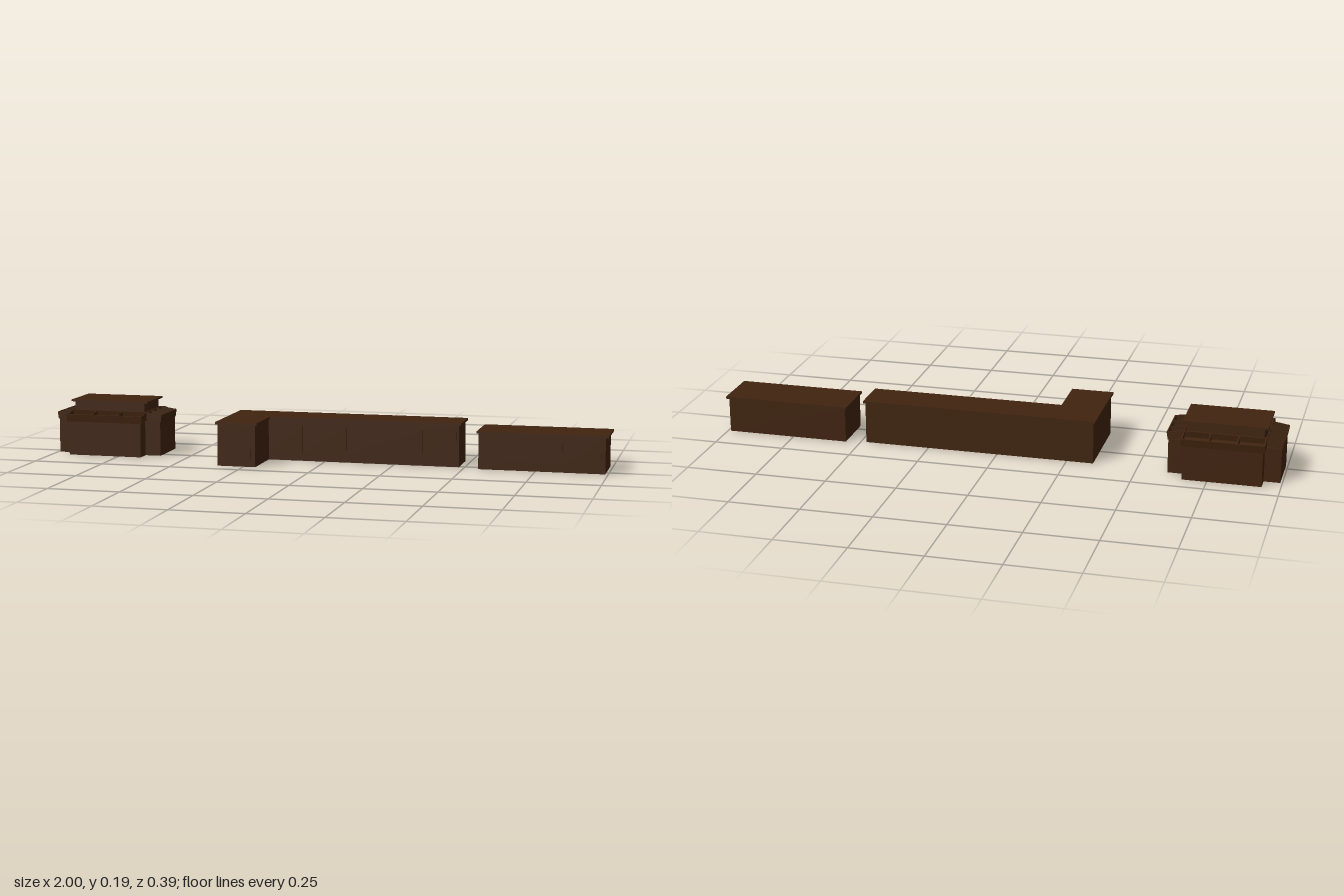
import * as THREE from 'three';

const wood = new THREE.MeshStandardMaterial({ color: 0x40240f });
wood.name = 'dark wood';

// Box given by its minimum and maximum corners
function box(parent, name, [x0, y0, z0], [x1, y1, z1]) {
  const mesh = new THREE.Mesh(new THREE.BoxGeometry(x1 - x0, y1 - y0, z1 - z0), wood);
  mesh.name = name;
  mesh.position.set((x0 + x1) / 2, (y0 + y1) / 2, (z0 + z1) / 2);
  parent.add(mesh);
  return mesh;
}

function group(parent, name) {
  const g = new THREE.Group();
  g.name = name;
  parent.add(g);
  return g;
}

// Thin raised door panels between successive x positions
function doors(parent, xs, z, thickness, y0, y1) {
  const gap = 0.003;
  for (let i = 0; i < xs.length - 1; i++) {
    box(parent, 'doorPanel', [xs[i] + gap, y0, z], [xs[i + 1] - gap, y1, z + thickness]);
  }
}

// Open three-compartment tray; local +z points outward and tilts down
function makeTray(width) {
  const g = new THREE.Group();
  g.name = 'displayTray';
  const w = width / 2, d = 0.062, h = 0.027, t = 0.005;
  box(g, 'trayFloor', [-w, 0, 0], [w, t, d]);
  box(g, 'trayBackWall', [-w, t, 0], [w, h, t]);
  box(g, 'trayFrontWall', [-w, t, d - t], [w, h, d]);
  for (const s of [-1, 1]) {
    const x = s * (w - t / 2);
    box(g, 'traySide', [x - t / 2, t, t], [x + t / 2, h, d - t]);
    const m = s * width * 0.17;
    box(g, 'trayDivider', [m - t / 2, t, t], [m + t / 2, h, d - t]);
  }
  g.rotation.x = 0.155;
  return g;
}

export function createModel() {
  const model = new THREE.Group();
  model.name = 'shopCounters';

  // Display island: cross-shaped base, four tilted trays, raised top
  const island = group(model, 'displayIsland');
  island.position.set(-0.8, 0, -0.05);
  box(island, 'longBase', [-0.136, 0, -0.135], [0.136, 0.122, 0.135]);
  for (const s of [-1, 1]) {
    box(island, 'sideBase', [Math.min(s * 0.136, s * 0.193), 0, -0.083],
      [Math.max(s * 0.136, s * 0.193), 0.122, 0.083]);
  }
  box(island, 'raisedBox', [-0.132, 0.122, -0.079], [0.132, 0.188, 0.079]);
  box(island, 'raisedTop', [-0.145, 0.188, -0.087], [0.145, 0.194, 0.087]);
  for (let i = 0; i < 4; i++) {
    const arm = group(island, 'trayArm');
    arm.rotation.y = i * Math.PI / 2;
    const tray = makeTray(i % 2 ? 0.17 : 0.284);
    tray.position.set(0, 0.131, i % 2 ? 0.134 : 0.077);
    arm.add(tray);
  }

  // L-shaped counter
  const corner = group(model, 'cornerCounter');
  box(corner, 'longBody', [-0.344, 0, -0.117], [0.48, 0.147, 0.012]);
  box(corner, 'legBody', [-0.344, 0, 0.012], [-0.207, 0.147, 0.185]);
  const outline = [[-0.35, -0.122], [0.488, -0.122], [0.488, 0.018],
    [-0.2, 0.018], [-0.2, 0.193], [-0.35, 0.193]];
  const shape = new THREE.Shape(outline.map(([x, z]) => new THREE.Vector2(x, -z)));
  const slab = new THREE.Mesh(
    new THREE.ExtrudeGeometry(shape, { depth: 0.008, bevelEnabled: false }), wood);
  slab.name = 'counterTop';
  slab.rotation.x = -Math.PI / 2;
  slab.position.y = 0.147;
  corner.add(slab);
  doors(corner, [-0.2, -0.08, 0.08, 0.355, 0.475], 0.012, 0.004, 0.03, 0.125);
  doors(corner, [-0.33, -0.22], 0.185, 0.004, 0.03, 0.122);

  // Straight counter
  const straight = group(model, 'straightCounter');
  box(straight, 'body', [0.552, 0, -0.131], [0.99, 0.125, 0.034]);
  box(straight, 'counterTop', [0.545, 0.125, -0.139], [1, 0.132, 0.039]);
  doors(straight, [0.565, 0.845, 0.98], 0.034, 0.003, 0.03, 0.112);

  return model;
}
